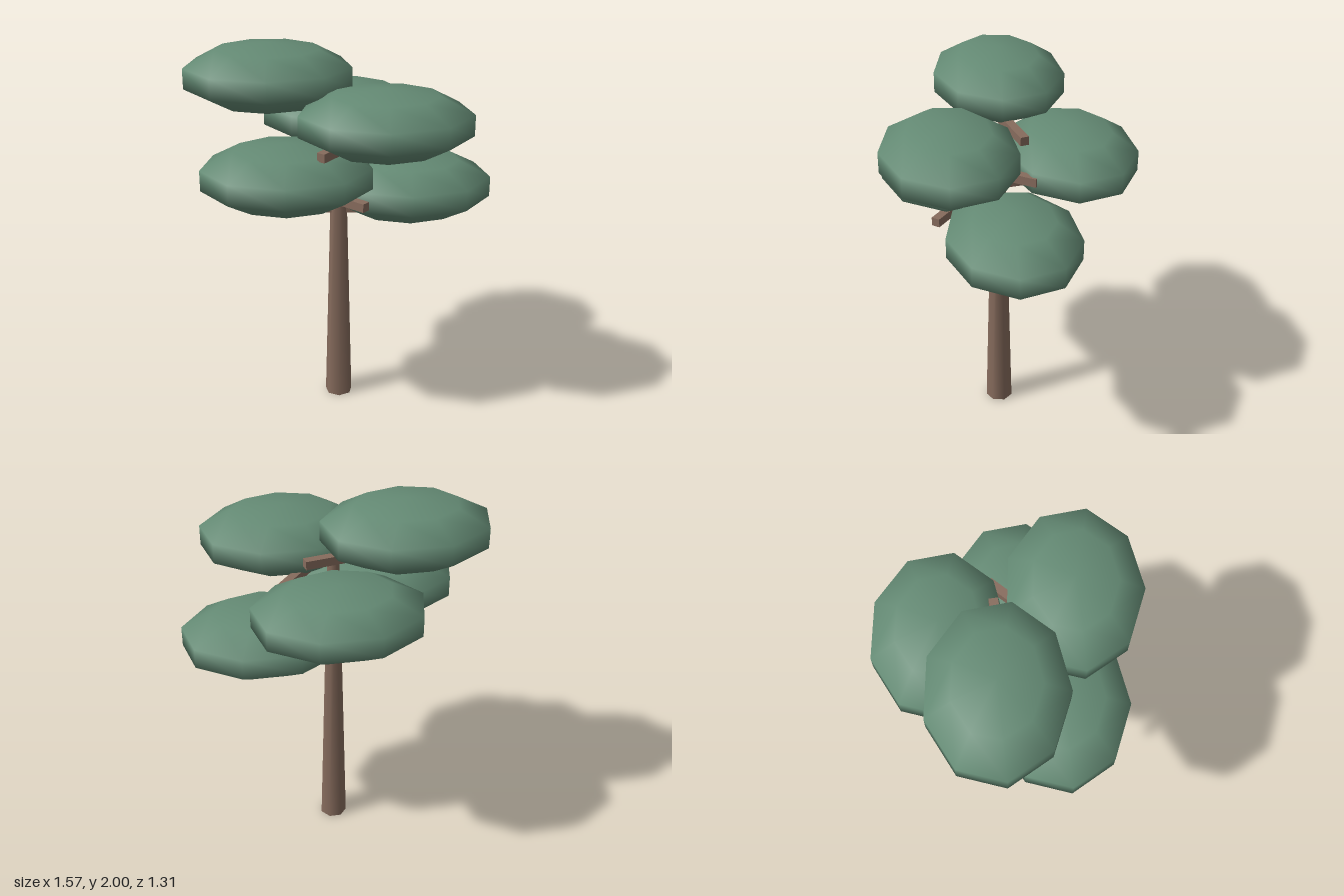
import * as THREE from 'three';

export function createModel() {
  const group = new THREE.Group();
  const bark = new THREE.MeshStandardMaterial({ name: 'bark', color: 0x876c5d });
  const leaves = new THREE.MeshStandardMaterial({ name: 'leaves', color: 0x648a74 });

  const add = (name, geometry, material, x, y, z) => {
    const mesh = new THREE.Mesh(geometry, material);
    mesh.name = name;
    mesh.position.set(x, y, z);
    group.add(mesh);
    return mesh;
  };

  // Tapered seven-sided trunk
  const trunkX = -0.003, trunkZ = 0.03, trunkHeight = 1.65;
  add('trunk', new THREE.CylinderGeometry(0.032, 0.0745, trunkHeight, 7),
    bark, trunkX, trunkHeight / 2, trunkZ);

  // Flattened nine-sided foliage pad, one corner towards the front
  const padGeometry = new THREE.SphereGeometry(1, 9, 5, Math.PI / 2);
  padGeometry.scale(0.455, 0.1725, 0.357);
  const branchGeometry = new THREE.BoxGeometry(0.69, 0.045, 0.045);

  // Centres of the foliage pads, lowest first
  const pads = [
    [0.358, 1.255, 0.025],
    [-0.27, 1.398, 0.27],
    [0.03, 1.543, -0.335],
    [0.215, 1.683, 0.315],
    [-0.36, 1.8275, -0.04],
  ];
  pads.forEach(([x, y, z], i) => {
    add(`foliage${i + 1}`, padGeometry, leaves, x, y, z);

    // Level branch centred halfway between the trunk and the pad
    const branch = add(`branch${i + 1}`, branchGeometry, bark,
      (x + trunkX) / 2, y - 0.13, (z + trunkZ) / 2);
    branch.rotation.y = Math.atan2(z - trunkZ, x - trunkX);
  });

  return group;
}
